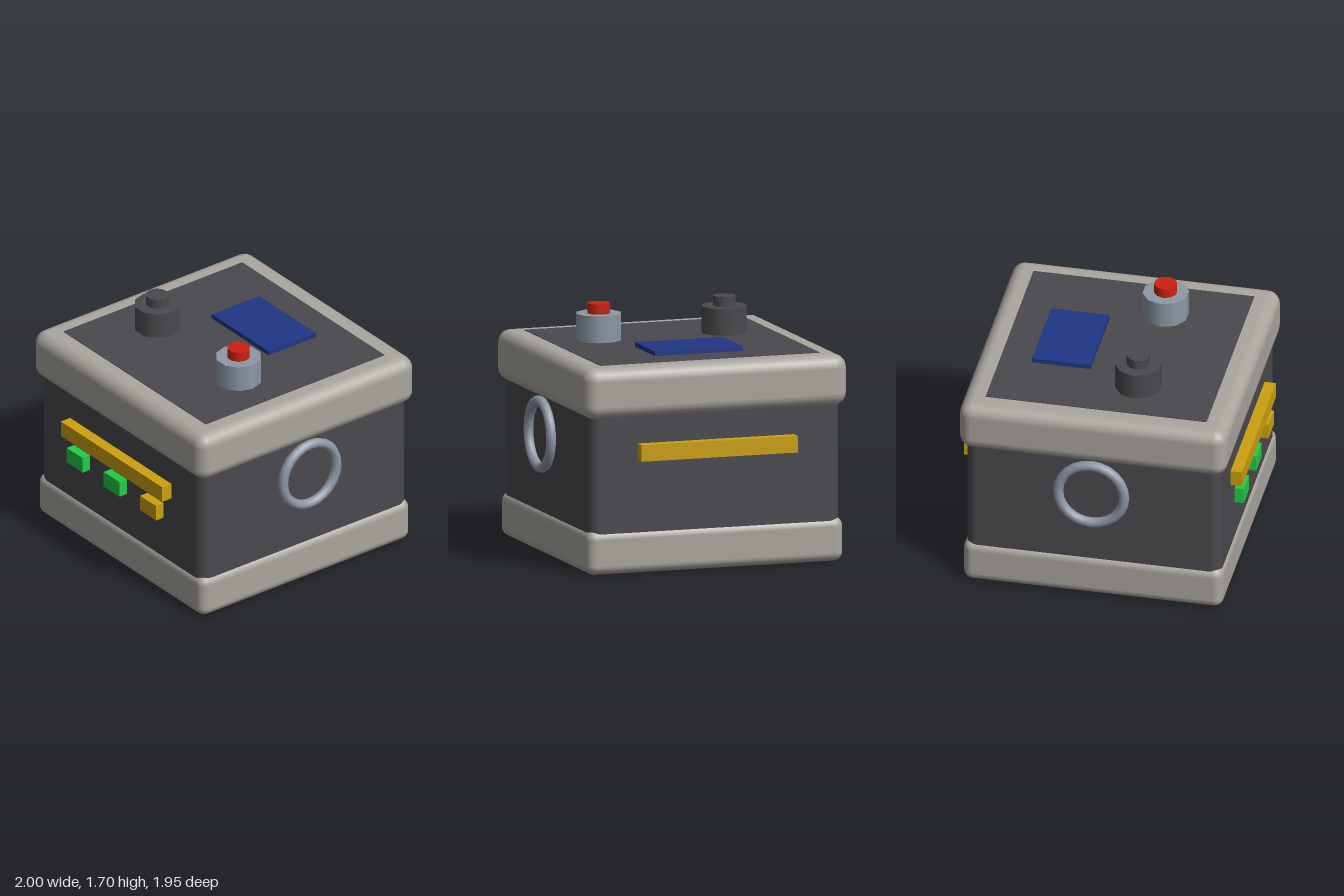
import * as THREE from 'three';
import { RoundedBoxGeometry } from 'three/addons/geometries/RoundedBoxGeometry.js';

const paint = (name, color) => {
  const m = new THREE.MeshStandardMaterial({ color });
  m.name = name;
  return m;
};

export function createModel() {
  const model = new THREE.Group();
  model.name = 'controlBox';

  const dark = paint('charcoal', 0x4a4a4e);
  const stone = paint('warm grey', 0xaaa69f);
  const steel = paint('steel', 0x8e98a6);
  const yellow = paint('yellow', 0xcca010);
  const green = paint('green', 0x22cc48);
  const blue = paint('blue', 0x203585);
  const red = paint('red', 0xcc2211);

  const add = (name, geometry, material, x, y, z) => {
    const mesh = new THREE.Mesh(geometry, material);
    mesh.name = name;
    mesh.position.set(x, y, z);
    model.add(mesh);
    return mesh;
  };
  const box = (name, w, h, d, material, x, y, z) =>
    add(name, new THREE.BoxGeometry(w, h, d), material, x, y, z);
  const rounded = (name, w, h, d, r, material, y) =>
    add(name, new RoundedBoxGeometry(w, h, d, 3, r), material, 0, y, 0);

  // Case: body between a foot band and a thick lid
  rounded('body', 1.83, 1.24, 1.79, 0.08, dark, 0.64);
  rounded('base', 1.87, 0.31, 1.82, 0.065, stone, 0.155);
  rounded('lid', 1.92, 0.355, 1.875, 0.09, stone, 1.2625);
  box('topPanel', 1.6, 0.008, 1.55, dark, 0, 1.44, 0);

  // Screen on the lid
  box('screen', 0.64, 0.035, 0.41, blue, 0, 1.4585, -0.345);

  // Two ten-sided buttons, a corner pointing to each side
  const button = (name, x, collar, cap) => {
    const parts = [['Collar', 0.16, 1.44, 1.63, collar], ['Cap', 0.08, 1.63, 1.7, cap]];
    for (const [part, r, y0, y1, material] of parts) {
      const geometry = new THREE.CylinderGeometry(r, r, y1 - y0, 10).rotateY(Math.PI / 2);
      add(name + part, geometry, material, x, (y0 + y1) / 2, 0.225);
    }
  };
  button('rightButton', -0.46, dark, dark);
  button('leftButton', 0.455, steel, red);

  // Yellow bars front and back
  box('frontBar', 1.14, 0.115, 0.085, yellow, 0, 0.848, 0.9325);
  box('backBar', 1.14, 0.115, 0.085, yellow, 0, 0.848, -0.9325);

  // Indicator lights
  [[-0.415, green], [0, green], [0.41, yellow]].forEach(([x, material], i) =>
    box('indicator' + (i + 1), 0.18, 0.115, 0.065, material, x, 0.668, 0.942));

  // Ring handles on both sides
  for (const side of [1, -1]) {
    const geometry = new THREE.TorusGeometry(0.232, 0.036, 8, 24).rotateY(side * Math.PI / 2);
    add(side > 0 ? 'leftRing' : 'rightRing', geometry, steel, side * 0.964, 0.85, 0);
  }

  return model;
}
